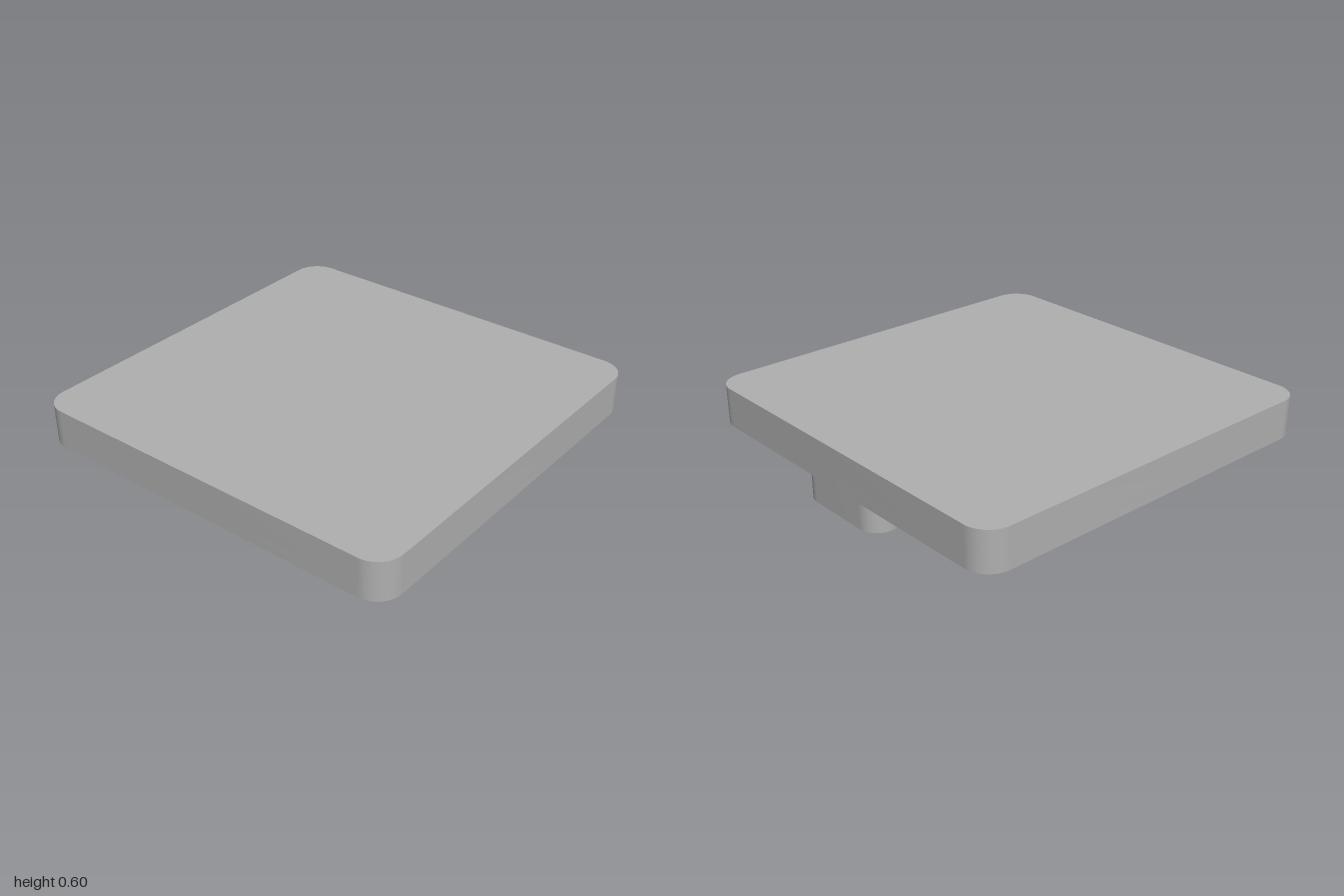
import * as THREE from 'three';
import { toCreasedNormals } from 'three/addons/utils/BufferGeometryUtils.js';

const TOP = 0.6, RIM = 0.4, CEILING = 0.465;

// Rounded rectangle in plan
function roundedRect(cx, cy, w, h, r) {
  const s = new THREE.Shape();
  const a = w / 2 - r, b = h / 2 - r;
  s.absarc(cx + a, cy + b, r, 0, Math.PI / 2);
  s.absarc(cx - a, cy + b, r, Math.PI / 2, Math.PI);
  s.absarc(cx - a, cy - b, r, Math.PI, Math.PI * 1.5);
  s.absarc(cx + a, cy - b, r, Math.PI * 1.5, Math.PI * 2);
  s.closePath();
  return s;
}

// Extrude a plan shape upright between two heights
function prism(name, shape, y0, y1, material) {
  const geo = new THREE.ExtrudeGeometry(shape, { depth: y1 - y0, bevelEnabled: false, curveSegments: 16 });
  geo.rotateX(-Math.PI / 2);
  geo.translate(0, y0, 0);
  const mesh = new THREE.Mesh(toCreasedNormals(geo, Math.PI / 5), material);
  mesh.name = name;
  return mesh;
}

export function createModel() {
  const grey = new THREE.MeshStandardMaterial({ color: 0xb0b0b0 });
  grey.name = 'plain grey';
  const group = new THREE.Group();
  group.name = 'squareCapWithPost';

  // Plate, with a square recess on its underside
  group.add(prism('plate', roundedRect(0, 0, 2, 2, 0.13), CEILING, TOP, grey));
  const rim = roundedRect(0, 0, 2, 2, 0.13);
  const a = 0.84;
  rim.holes.push(new THREE.Path([
    new THREE.Vector2(-a, -a), new THREE.Vector2(-a, a),
    new THREE.Vector2(a, a), new THREE.Vector2(a, -a),
  ]));
  group.add(prism('rim', rim, RIM, CEILING, grey));

  // Pill-shaped tab flush with one edge
  group.add(prism('edgeTab', roundedRect(0.9, 0, 0.2, 0.53, 0.1), 0.27, CEILING, grey));

  // Round post split by a diagonal slot into two halves
  const radius = 0.233, half = Math.asin(0.039 / radius);
  for (const side of [0, 1]) {
    const start = Math.PI / 4 + side * Math.PI + half;
    const s = new THREE.Shape();
    s.absarc(0, 0, radius, start, start + Math.PI - 2 * half);
    s.closePath();
    group.add(prism(side ? 'postHalfFront' : 'postHalfBack', s, 0, CEILING, grey));
  }
  return group;
}
